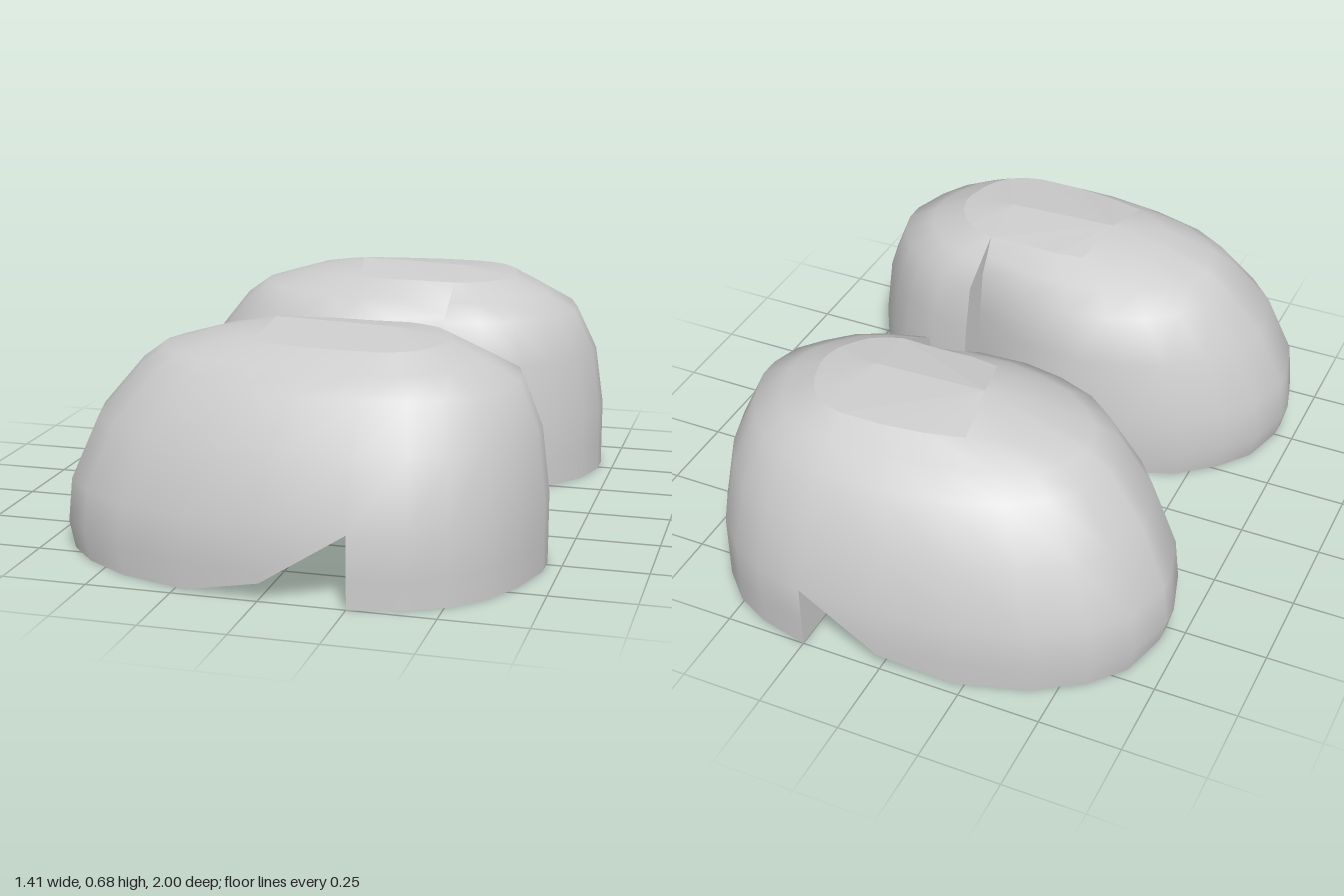
import * as THREE from 'three';
import { mergeVertices } from 'three/addons/utils/BufferGeometryUtils.js';

// Plan outline as [x, z]: forepart runs inner -> toe -> outer, heel outer -> back -> inner
const FORE = [[.25, .08], [.03, .09], [-.17, .08], [-.33, .11], [-.48, .17], [-.59, .26], [-.67, .36], [-.71, .5],
  [-.71, .56], [-.67, .71], [-.58, .81], [-.44, .9], [-.23, .965], [0, 1], [.25, 1]];
const HEEL = [[.25, 1], [.4, .965], [.51, .91], [.6, .82], [.66, .71], [.705, .56], [.705, .48], [.67, .36],
  [.6, .27], [.51, .18], [.39, .12], [.25, .08]];

// Levels: height, toe scale, heel scale, inner z, outer z, z of the recessed waist
const LEVELS = [
  [0, .98, 1, .085, 1, .21],
  [.08, 1, 1, .08, 1, .21],
  [.21, .985, 1, .08, 1, .21],
  [.4, .9, .945, .11, .94, .215],
  [.54, .78, .81, .145, .85, .24],
  [.59, .71, .6, .225, .775, .275],
  [.64, .54, .37, .305, .7, .305],
];
const SPLIT = .25;

// Height of the sole's arch, forward of the heel
function archHeight(x) {
  if (x < -.17) return 0;
  if (x < .01) return .055 * (x + .17) / .18;
  return .055 + .155 * (x - .01) / .24;
}

// Collects triangles; mirror = -1 reflects them in z and keeps them facing outward
function makeSurface(mirror) {
  const pos = [];
  const tri = (a, b, c) => {
    const area = new THREE.Triangle(...[a, b, c].map((p) => new THREE.Vector3(...p))).getArea();
    if (area < 1e-7) return;
    for (const p of mirror > 0 ? [a, b, c] : [a, c, b]) pos.push(p[0], p[1], p[2] * mirror);
  };
  const quad = (a, b, c, d) => { tri(a, b, c); tri(a, c, d); };
  const mesh = (name, smooth) => {
    let geo = new THREE.BufferGeometry();
    geo.setAttribute('position', new THREE.Float32BufferAttribute(pos, 3));
    if (smooth) geo = mergeVertices(geo, 1e-4);
    geo.computeVertexNormals();
    const m = new THREE.Mesh(geo, new THREE.MeshStandardMaterial({ color: 0xcccccc, flatShading: !smooth }));
    m.name = name;
    return m;
  };
  return { tri, quad, mesh };
}

function makeShoe(name, mirror) {
  // Rings of both halves at every level
  const fore = LEVELS.map(([y, s, , z0, z1, waist]) => FORE.map(([x, z], i) => [
    SPLIT + (x - SPLIT) * s,
    Math.max(y, archHeight(x)),
    i === 0 ? waist : z0 + (z - .08) / .92 * (z1 - z0),
  ]));
  const heel = LEVELS.map(([y, , s, z0, z1]) => HEEL.map(([x, z]) => [
    SPLIT + (x - SPLIT) * s, y, z0 + (z - .08) / .92 * (z1 - z0),
  ]));
  const top = LEVELS.length - 1;
  const upper = makeSurface(mirror), patch = makeSurface(mirror);
  const sole = makeSurface(mirror), step = makeSurface(mirror);

  // Side walls and undersides
  for (const rings of [fore, heel]) {
    const n = rings[0].length;
    for (let r = 0; r < top; r++) {
      for (let i = 0; i < n - 1; i++) {
        upper.quad(rings[r][i], rings[r][i + 1], rings[r + 1][i + 1], rings[r + 1][i]);
      }
    }
    const base = rings[0];
    for (let i = 0; i < (n - 1) / 2; i++) {
      sole.quad(base[n - 1 - i], base[n - 2 - i], base[i + 1], base[i]);
    }
  }

  // Crown: rounded toward the toe, faceted patch over the instep and heel
  const ridgeFront = [-.1, .675, .48], ridgeBack = [SPLIT, .665, .48];
  const f = fore[top], h = heel[top];
  for (let i = 0; i < f.length - 1; i++) {
    const part = i < 3 || i >= 11 ? patch : upper;
    part.tri(f[i], f[i + 1], ridgeFront);
  }
  patch.tri(f[0], ridgeFront, ridgeBack);
  patch.tri(f[f.length - 1], ridgeBack, ridgeFront);
  for (let i = 0; i < h.length - 1; i++) patch.tri(h[i], h[i + 1], ridgeBack);

  // Forward face of the heel and of the waist recess above it
  const last = HEEL.length - 1;
  for (let r = 0; r < top; r++) {
    const edge = (k) => (r < 2 ? heel[k][0] : fore[k][0]);
    step.quad(heel[r][last], edge(r), edge(r + 1), heel[r + 1][last]);
  }

  const shoe = new THREE.Group();
  shoe.name = name;
  shoe.add(upper.mesh('upper', true), patch.mesh('topPatch', false),
    sole.mesh('sole', false), step.mesh('heelStep', false));
  return shoe;
}

export function createModel() {
  const group = new THREE.Group();
  group.name = 'pairOfShoes';
  group.add(makeShoe('frontShoe', 1), makeShoe('backShoe', -1));
  return group;
}
